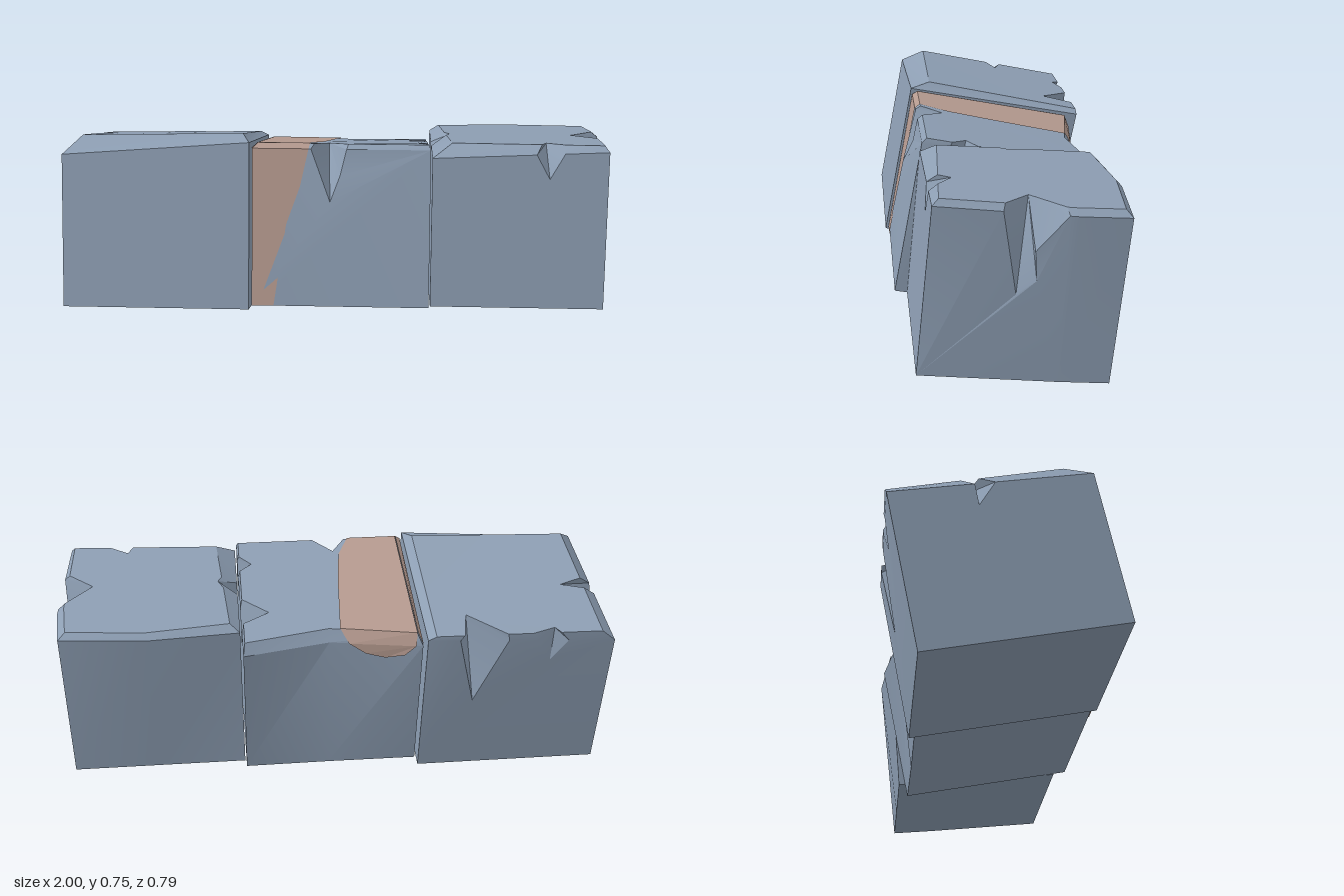
import * as THREE from 'three';
import { mergeGeometries, toCreasedNormals } from 'three/addons/utils/BufferGeometryUtils.js';

const stone = new THREE.MeshStandardMaterial({ color: 0x8d9eb3 });
stone.name = 'blue grey stone';
const clay = new THREE.MeshStandardMaterial({ color: 0xb59a8f, side: THREE.DoubleSide });
clay.name = 'clay stain';

// Flat polygon from a loop of points, counter-clockwise seen from outside
function polygon(pts) {
  const n = new THREE.Vector3();
  pts.forEach((p, i) => n.add(p.clone().cross(pts[(i + 1) % pts.length])));
  n.normalize();
  const u = (Math.abs(n.y) > 0.9 ? new THREE.Vector3(1, 0, 0) : new THREE.Vector3(0, 1, 0)).cross(n).normalize();
  const w = n.clone().cross(u);
  const flat = pts.map(p => new THREE.Vector2(p.dot(u), p.dot(w)));
  const tris = THREE.ShapeUtils.triangulateShape(flat, []);
  const geo = new THREE.BufferGeometry().setFromPoints(tris.flat().map(i => pts[i]));
  geo.computeVertexNormals();
  return geo;
}

// Block coordinates are [x, height, depth from the front bottom edge], tilted about x
function tilt(z0, y0, degrees) {
  const a = THREE.MathUtils.degToRad(degrees), c = Math.cos(a), s = Math.sin(a);
  return ([x, h, v]) => new THREE.Vector3(x, y0 - v * s + h * c, z0 - v * c - h * s);
}

const mix = (p, q, t) => p.map((k, i) => k + (q[i] - k) * t);

// Block from three rings, with bevels between shoulder and top, and chipped notches
function makeBlock(name, place, { base, shoulder, top, notches }) {
  const faces = [], topLoop = [];
  const add = pts => faces.push(polygon(pts.map(place)));
  base.forEach((b, i) => {
    const j = (i + 1) % base.length;
    const shAt = t => mix(shoulder[i], shoulder[j], t);
    const topAt = t => mix(top[i], top[j], t);
    const edge = [];
    let start = 0;
    topLoop.push(top[i]);
    for (const { a, b: end, tip, lip } of notches.filter(n => n.edge === i)) {
      add([shAt(start), shAt(a), topAt(a), topAt(start)]);
      topLoop.push(topAt(a), tip, topAt(end));
      edge.unshift(shAt(end), ...lip, shAt(a));
      // Hollow of the notch, fanned from its inner tip
      const rim = [topAt(a), shAt(a), ...[...lip].reverse(), shAt(end), topAt(end)];
      for (let k = 0; k + 1 < rim.length; k++) add([tip, rim[k], rim[k + 1]]);
      start = end;
    }
    add([shAt(start), shoulder[j], top[j], topAt(start)]);
    add([b, base[j], shoulder[j], ...edge, shoulder[i]]);
  });
  add(topLoop);
  add([...base].reverse());
  const mesh = new THREE.Mesh(toCreasedNormals(mergeGeometries(faces), 0.45), stone);
  mesh.name = name;
  return mesh;
}

const leftEnd = {
  base: [[-1, 0, 0], [-0.315, 0, 0], [-0.315, 0, 0.688], [-1, 0, 0.688]],
  shoulder: [[-1, 0.56, 0], [-0.315, 0.61, 0], [-0.315, 0.615, 0.688], [-1, 0.58, 0.688]],
  top: [[-0.94, 0.63, 0.08], [-0.345, 0.641, 0.07], [-0.345, 0.63, 0.685], [-0.95, 0.622, 0.685]],
  notches: [
    { edge: 2, a: 0.17, b: 0.43, tip: [-0.47, 0.63, 0.567], lip: [[-0.5, 0.32, 0.688]] },
    { edge: 2, a: 0.58, b: 0.75, tip: [-0.78, 0.624, 0.655], lip: [[-0.77, 0.5, 0.688]] },
    { edge: 3, a: 0.42, b: 0.52, tip: [-0.86, 0.626, 0.405], lip: [[-1, 0.49, 0.4]] },
  ],
};

const middle = {
  base: [[-0.305, 0, 0], [0.342, 0, 0], [0.342, 0, 0.652], [0.03, 0, 0.65], [-0.305, 0, 0.652]],
  shoulder: [[-0.305, 0.575, 0], [0.342, 0.575, 0], [0.342, 0.55, 0.658], [0.03, 0.55, 0.6], [-0.305, 0.55, 0.645]],
  top: [[-0.285, 0.594, 0.015], [0.335, 0.594, 0.015], [0.335, 0.59, 0.63], [0.03, 0.59, 0.57], [-0.285, 0.59, 0.62]],
  notches: [
    { edge: 0, a: 0.33, b: 0.53, tip: [-0.03, 0.594, 0.095], lip: [[0.015, 0.48, 0], [-0.02, 0.385, -0.02]] },
    { edge: 1, a: 0.15, b: 0.3, tip: [0.29, 0.594, 0.16], lip: [[0.342, 0.47, 0.15]] },
    { edge: 1, a: 0.59, b: 0.82, tip: [0.24, 0.59, 0.46], lip: [[0.342, 0.42, 0.46]] },
  ],
};

const rightEnd = {
  base: [[0.348, 0, 0], [0.98, 0, 0], [0.985, 0, 0.46], [0.98, 0, 0.633], [0.68, 0, 0.633], [0.348, 0, 0.633]],
  shoulder: [[0.348, 0.55, 0], [0.98, 0.578, 0], [1, 0.58, 0.46], [0.985, 0.58, 0.632], [0.68, 0.58, 0.657], [0.35, 0.575, 0.625]],
  top: [[0.42, 0.6, 0.05], [0.965, 0.6, 0.02], [0.975, 0.6, 0.45], [0.96, 0.6, 0.61], [0.68, 0.6, 0.635], [0.385, 0.6, 0.6]],
  notches: [
    { edge: 0, a: 0.59, b: 0.75, tip: [0.76, 0.6, 0.075], lip: [[0.77, 0.478, 0]] },
    { edge: 1, a: 0.48, b: 0.93, tip: [0.88, 0.6, 0.31],
      lip: [[0.99, 0.452, 0.335], [0.99, 0.353, 0.35], [0.985, 0.302, 0.29]] },
    { edge: 5, a: 0.44, b: 0.58, tip: [0.42, 0.6, 0.31], lip: [[0.348, 0.48, 0.31]] },
  ],
};

// Stain band laid over the front, top, left bevel and back of the middle block
const stain = [
  [[-0.305, 0, -0.003], [-0.225, 0, -0.003], [-0.18, 0.3, -0.003], [-0.13, 0.44, -0.003], [-0.1, 0.576, -0.003], [-0.305, 0.576, -0.003]],
  [[-0.305, 0.576, -0.003], [-0.1, 0.576, -0.003], [-0.095, 0.597, 0.013], [-0.285, 0.597, 0.013]],
  [[-0.285, 0.597, 0.013], [-0.095, 0.597, 0.013], [-0.05, 0.597, 0.12], [-0.03, 0.596, 0.3], [-0.01, 0.594, 0.577], [-0.285, 0.594, 0.622]],
  [[-0.307, 0.577, 0], [-0.287, 0.597, 0.014], [-0.287, 0.594, 0.62], [-0.307, 0.553, 0.645]],
  [[-0.285, 0.594, 0.622], [-0.01, 0.594, 0.577], [-0.04, 0.552, 0.615], [-0.28, 0.552, 0.647]],
  [[-0.28, 0.552, 0.647], [-0.04, 0.552, 0.615], [-0.1, 0.515, 0.63], [-0.17, 0.5, 0.64], [-0.24, 0.515, 0.65]],
];

export function createModel() {
  const model = new THREE.Group();
  model.name = 'stoneBlockRow';
  const middlePlace = tilt(0.385, 0.145, 11);
  model.add(
    makeBlock('leftmostBlock', tilt(0.4, 0.134, 11.2), leftEnd),
    makeBlock('middleBlock', middlePlace, middle),
    makeBlock('rightmostBlock', tilt(0.34, 0.135, 5.9), rightEnd),
  );
  const band = new THREE.Mesh(mergeGeometries(stain.map(p => polygon(p.map(middlePlace)))), clay);
  band.name = 'clayStain';
  model.add(band);
  return model;
}
